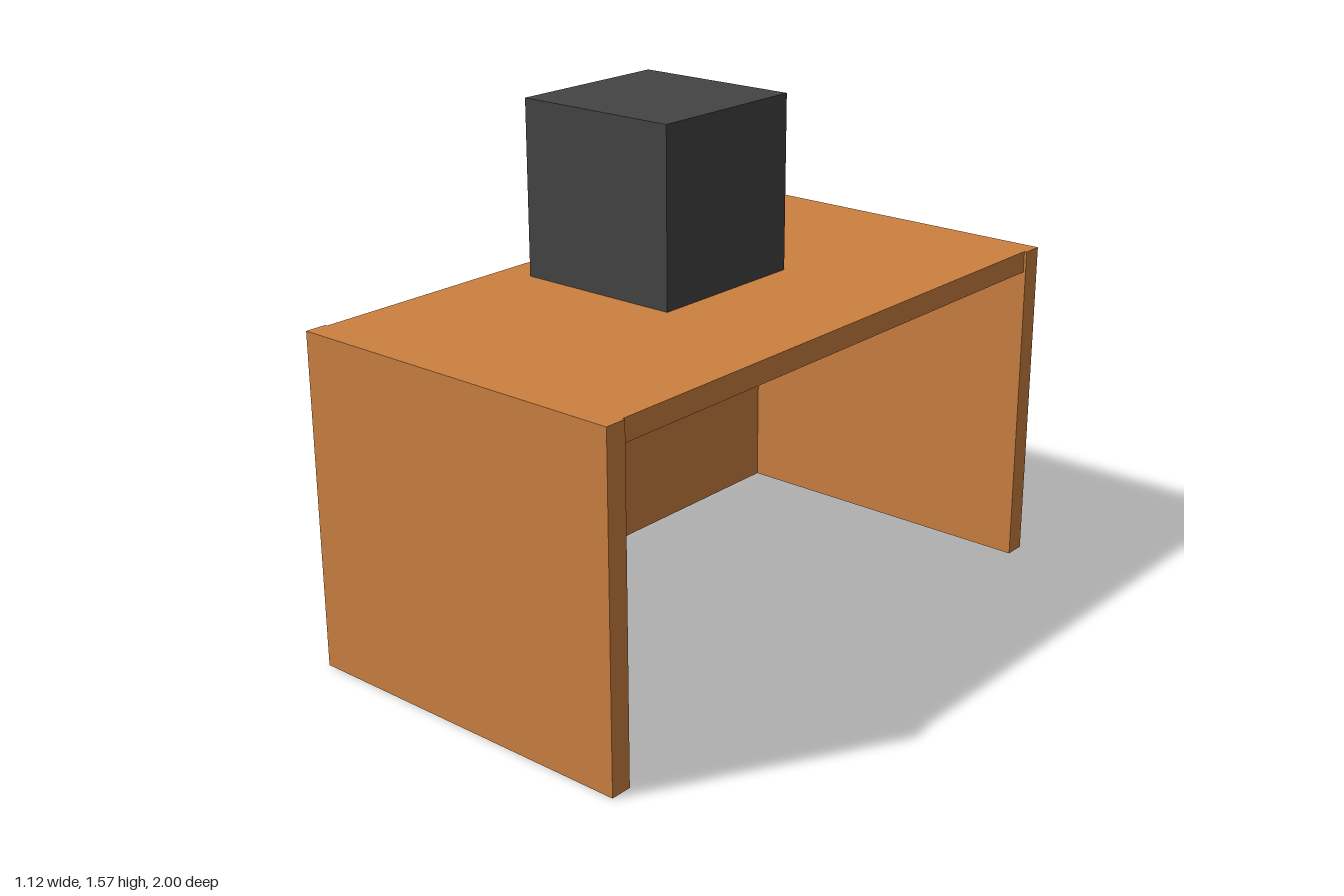
import * as THREE from 'three';

const HEIGHT = 1.03;
const DEPTH = 2;
const BOARD = 0.067;
const LEG_WIDTH = 1.116;
const TOP_WIDTH = 1.1;

const wood = new THREE.MeshStandardMaterial({ color: 0xcc8040 });
const dark = new THREE.MeshStandardMaterial({ color: 0x444444 });

// Box given by its size and the centre of its underside
function addBox(group, name, material, [w, h, d], [x, y, z]) {
  const mesh = new THREE.Mesh(new THREE.BoxGeometry(w, h, d), material);
  mesh.name = name;
  mesh.position.set(x, y + h / 2, z);
  group.add(mesh);
}

export function createModel() {
  const model = new THREE.Group();
  model.name = 'deskWithCube';

  const desk = new THREE.Group();
  desk.name = 'desk';
  model.add(desk);

  // Slab legs at both ends, slightly wider than the top
  for (const [name, side] of [['frontLeg', 1], ['backLeg', -1]]) {
    addBox(desk, name, wood, [LEG_WIDTH, HEIGHT, BOARD], [0, 0, side * (DEPTH - BOARD) / 2]);
  }

  // Desk top between the legs
  const span = DEPTH - 2 * BOARD;
  addBox(desk, 'deskTop', wood, [TOP_WIDTH, BOARD, span], [0, HEIGHT - BOARD, 0]);

  // Panel closing the -x side; the +x side stays open
  const panel = 0.055;
  addBox(desk, 'modestyPanel', wood, [panel, HEIGHT - BOARD, span], [(panel - TOP_WIDTH) / 2, 0, 0]);

  // Cube standing on the desk
  addBox(model, 'cube', dark, [0.54, 0.54, 0.54], [-0.175, HEIGHT, -0.03]);

  return model;
}
